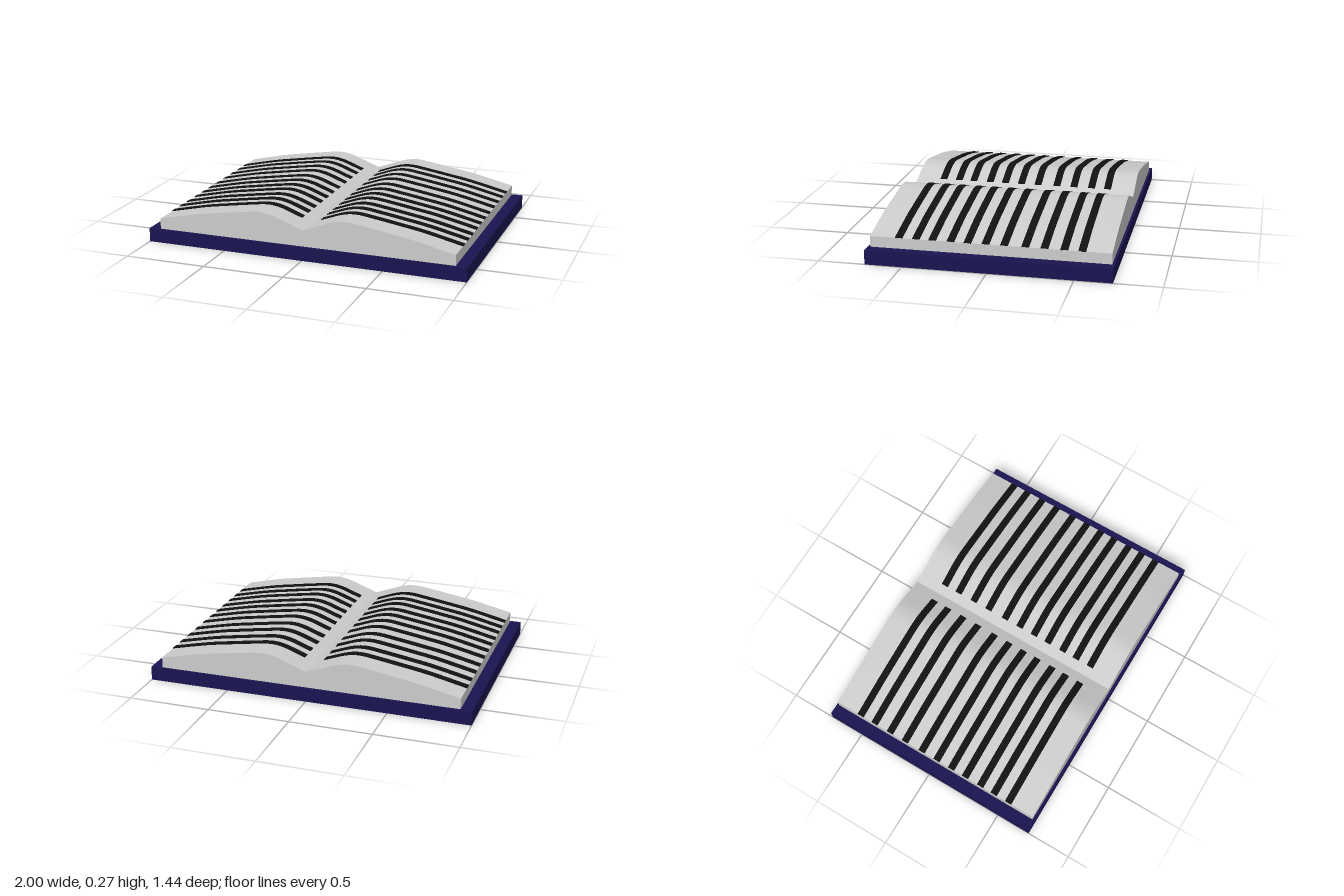
import * as THREE from 'three';
import { toCreasedNormals } from 'three/addons/utils/BufferGeometryUtils.js';

const COVER_TOP = 0.085;
const PAGE_EDGE = 0.93;

// Height of the open page surface, from the gutter to the outer edge
const pageCurve = new THREE.SplineCurve([
  [0, 0.185], [0.1, 0.222], [0.2, 0.257], [0.285, 0.267], [0.4, 0.252],
  [0.55, 0.228], [0.7, 0.202], [PAGE_EDGE, 0.15],
].map(([x, y]) => new THREE.Vector2(x, y)));
const pageTop = pageCurve.getPoints(42);

// Extrude an outline along z, centred on z
function extrudeOutline(points, depth, z = 0) {
  const geometry = new THREE.ExtrudeGeometry(new THREE.Shape(points), { depth, bevelEnabled: false });
  geometry.translate(0, 0, z - depth / 2);
  return toCreasedNormals(geometry, 0.4);
}

function addMesh(parent, name, geometry, material) {
  const mesh = new THREE.Mesh(geometry, material);
  mesh.name = name;
  parent.add(mesh);
  return mesh;
}

export function createModel() {
  const book = new THREE.Group();
  book.name = 'openBook';
  const paper = new THREE.MeshStandardMaterial({ color: 0xcccccc });
  const coverBlue = new THREE.MeshStandardMaterial({ color: 0x1a1450 });
  const ink = new THREE.MeshStandardMaterial({ color: 0x111111 });

  // Flat cover board
  const cover = addMesh(book, 'cover', new THREE.BoxGeometry(2, COVER_TOP, 1.44), coverBlue);
  cover.position.y = COVER_TOP / 2;

  // Page block: both curved halves in one outline
  const mirrored = pageTop.slice(1).map((p) => new THREE.Vector2(-p.x, p.y));
  const outline = [
    new THREE.Vector2(-PAGE_EDGE, COVER_TOP - 0.005),
    new THREE.Vector2(PAGE_EDGE, COVER_TOP - 0.005),
    ...pageTop.slice().reverse(),
    ...mirrored,
  ];
  addMesh(book, 'pages', extrudeOutline(outline, 1.41), paper);

  // Printed lines: thin strips that follow the page curve
  const start = pageTop.findIndex((p) => p.x > 0.06);
  const t = (0.06 - pageTop[start - 1].x) / (pageTop[start].x - pageTop[start - 1].x);
  const path = [pageTop[start - 1].clone().lerp(pageTop[start], t), ...pageTop.slice(start)];
  const lineZ = [-0.535, -0.433, -0.32, -0.21, -0.088, 0.02, 0.125, 0.225, 0.333, 0.43, 0.532];

  for (const side of [1, -1]) {
    const lines = new THREE.Group();
    lines.name = side > 0 ? 'leftPageLines' : 'rightPageLines';
    const band = [
      ...path.map((p) => new THREE.Vector2(side * p.x, p.y - 0.003)),
      ...path.slice().reverse().map((p) => new THREE.Vector2(side * p.x, p.y + 0.004)),
    ];
    for (const z of lineZ) addMesh(lines, 'printedLine', extrudeOutline(band, 0.044, z), ink);
    book.add(lines);
  }
  return book;
}
